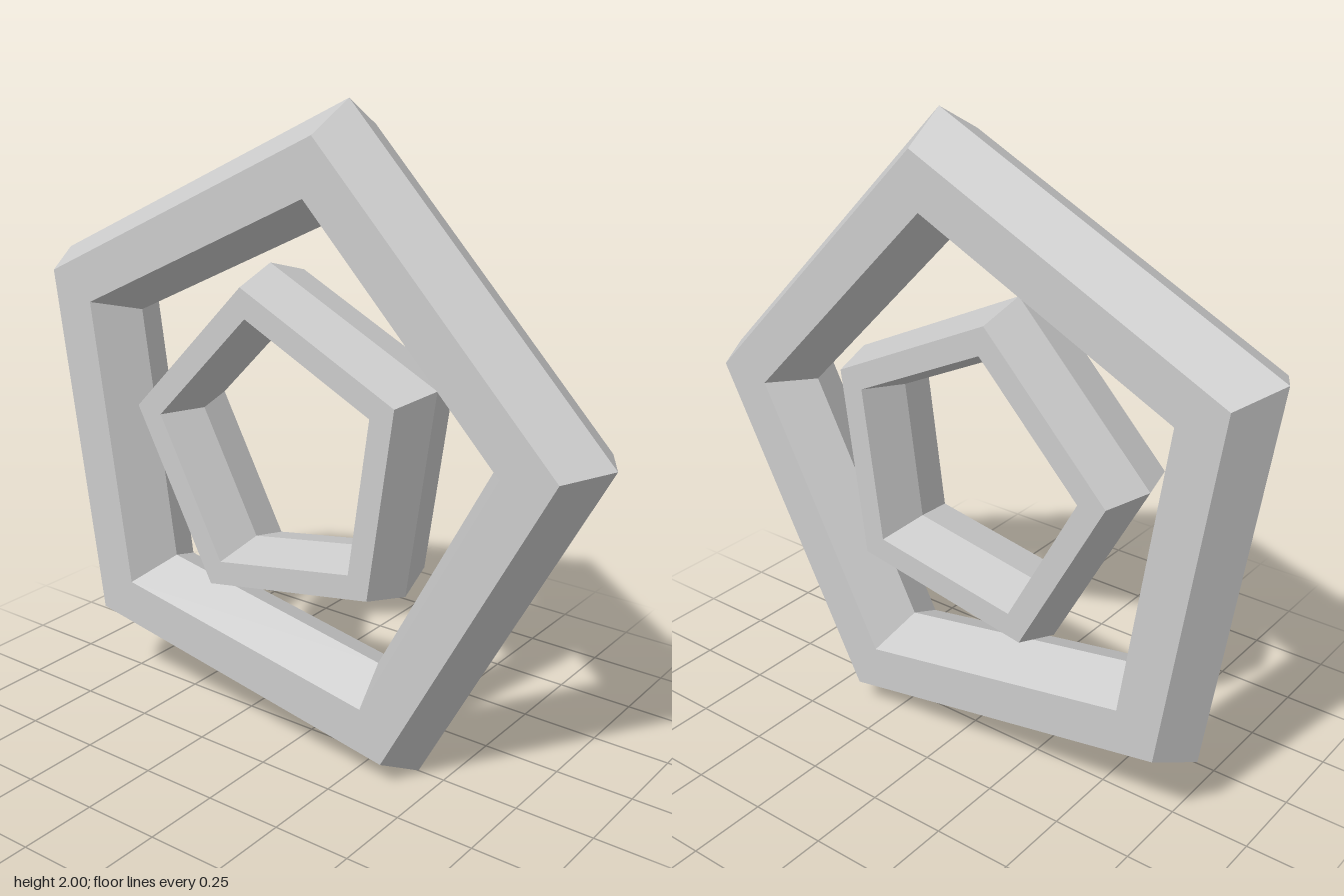
import * as THREE from 'three';

// Five-sided ring with a hexagonal section, standing in the YZ plane
function pentagonRing(name, size, degrees, material) {
  const geometry = new THREE.TorusGeometry(0.885, 0.177, 6, 5);
  geometry.scale(size, size, 1); // both rings keep the same width
  const flat = geometry.toNonIndexed();
  flat.computeVertexNormals();
  const ring = new THREE.Mesh(flat, material);
  ring.name = name;
  ring.rotation.set(0, -Math.PI / 2, THREE.MathUtils.degToRad(degrees));
  ring.position.set(0, 0.955, -0.056);
  return ring;
}

export function createModel() {
  const group = new THREE.Group();
  group.name = 'nestedPentagonRings';
  const material = new THREE.MeshStandardMaterial({ color: 0xcccccc, flatShading: true });
  group.add(
    pentagonRing('outerRing', 1, 8, material),
    pentagonRing('innerRing', 0.528, 28, material)
  );
  return group;
}
